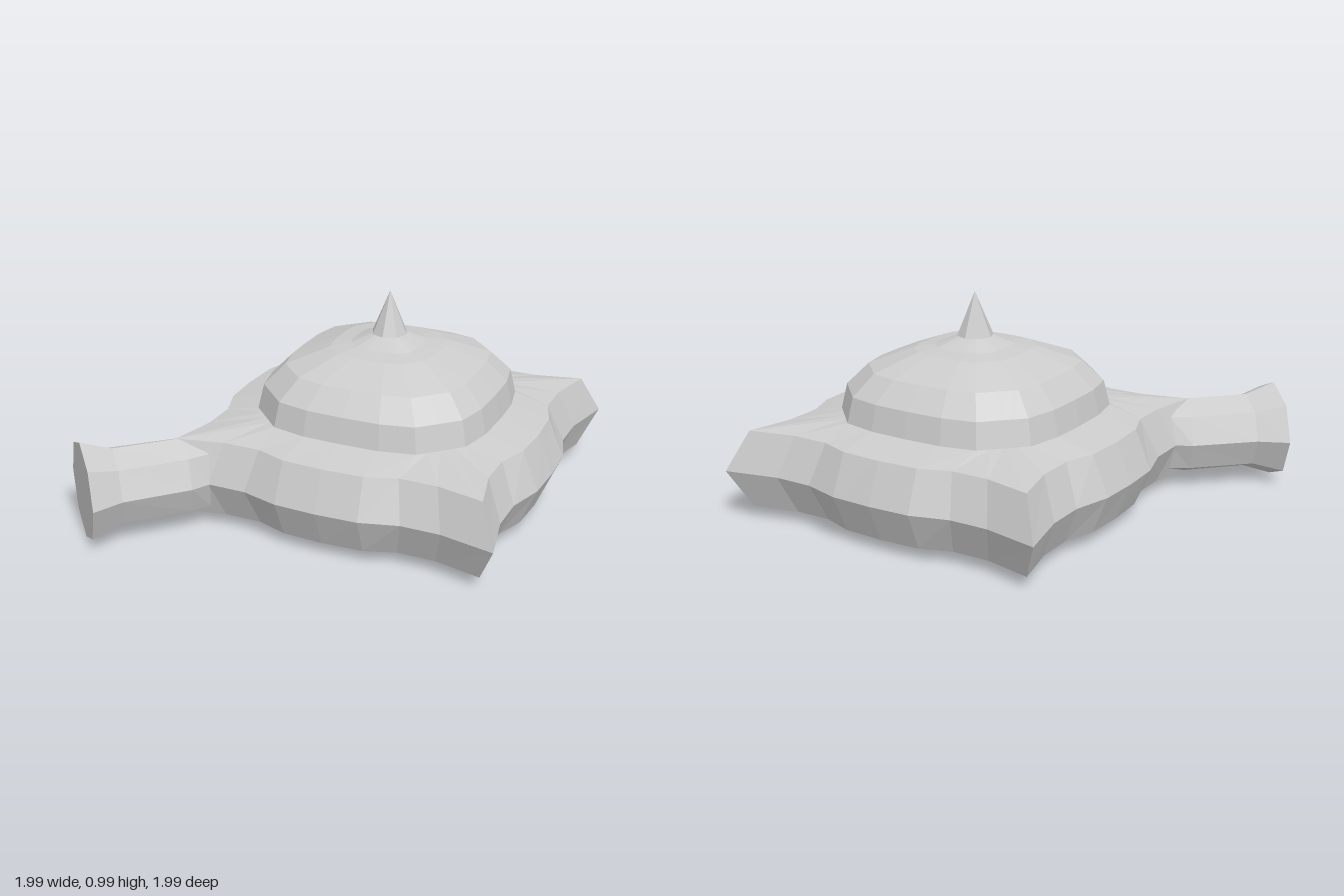
import * as THREE from 'three';

const CX = 0.187, CZ = -0.192;

// Skin stacked rings of [x, y, z] points; optionally close the ends with fans.
function loft(rings, capStart, capEnd) {
  const n = rings[0].length, pos = rings.flat(2), idx = [];
  for (let i = 0; i < rings.length - 1; i++) {
    for (let j = 0; j < n; j++) {
      const k = (j + 1) % n, a = i * n, b = a + n;
      idx.push(a + j, a + k, b + k, a + j, b + k, b + j);
    }
  }
  const cap = (start, y, up) => {
    const c = pos.length / 3;
    pos.push(0, y, 0);
    for (let j = 0; j < n; j++) {
      const k = (j + 1) % n;
      if (up) idx.push(c, start + j, start + k);
      else idx.push(c, start + k, start + j);
    }
  };
  if (capStart) cap(0, rings[0][0][1], false);
  if (capEnd) cap((rings.length - 1) * n, rings[rings.length - 1][0][1], true);
  const g = new THREE.BufferGeometry();
  g.setAttribute('position', new THREE.Float32BufferAttribute(pos, 3));
  g.setIndex(idx);
  const flat = g.toNonIndexed();
  flat.computeVertexNormals();
  return flat;
}

// Four-sided ring from half an edge, given from its middle to its corner.
function squareRing(half, y, s = 1) {
  const edge = half.slice(1).reverse().map(([x, z]) => [-x, z]).concat(half.slice(0, -1));
  const ring = [];
  for (let q = 0; q < 4; q++) {
    for (const p of edge) {
      let [x, z] = p;
      for (let t = 0; t < q; t++) [x, z] = [z, -x];
      ring.push([x * s, y, z * s]);
    }
  }
  return ring;
}

// Eight-sided ring with separate width and depth radii.
function octRing(rx, rz, y) {
  return Array.from({ length: 8 }, (_, i) => {
    const a = (i * Math.PI) / 4;
    return [Math.sin(a) * rx, y, Math.cos(a) * rz];
  });
}

export function createModel() {
  const group = new THREE.Group();
  const material = new THREE.MeshStandardMaterial({ color: 0xcccccc, flatShading: true });
  const add = (name, geometry, x = 0, y = 0, z = 0) => {
    const mesh = new THREE.Mesh(geometry, material);
    mesh.name = name;
    mesh.position.set(x, y, z);
    group.add(mesh);
  };

  const rim = [[0, 0.803], [0.195, 0.795], [0.37, 0.745], [0.55, 0.745], [0.8, 0.8]];
  const face = [[0, 0.73], [0.19, 0.72], [0.33, 0.67], [0.505, 0.67], [0.72, 0.72]];
  const round = [[0, 0.545], [0.18, 0.54], [0.34, 0.505], [0.38, 0.465], [0.4225, 0.4225]];

  // Wavy square base with a sharp rim
  add('base', loft([
    squareRing(face, 0.06), squareRing(rim, 0.235),
    squareRing(face, 0.415), squareRing(round, 0.455),
  ], true, false), CX, 0, CZ);

  // Domed lid
  const domeProfile = [[0.545, 0.455], [0.52, 0.57], [0.43, 0.665], [0.245, 0.738], [0.16, 0.75], [0.07, 0.79]];
  add('dome', loft(domeProfile.map(([r, y]) => squareRing(round, y, r / 0.545)), false, true), CX, 0, CZ);

  // Pointed finial
  add('spike', new THREE.ConeGeometry(0.083, 0.2, 8), CX, 0.89, CZ);

  // Flared spout leaving the front corner diagonally
  const spout = loft([
    octRing(0.135, 0.18, 0.63), octRing(0.165, 0.18, 0.728),
    octRing(0.177, 0.18, 1.04), octRing(0.23, 0.23, 1.18),
  ], true, true);
  spout.rotateX(Math.PI / 2).rotateY(-Math.PI / 4);
  add('spout', spout, 0, 0.235, 0);

  return group;
}
